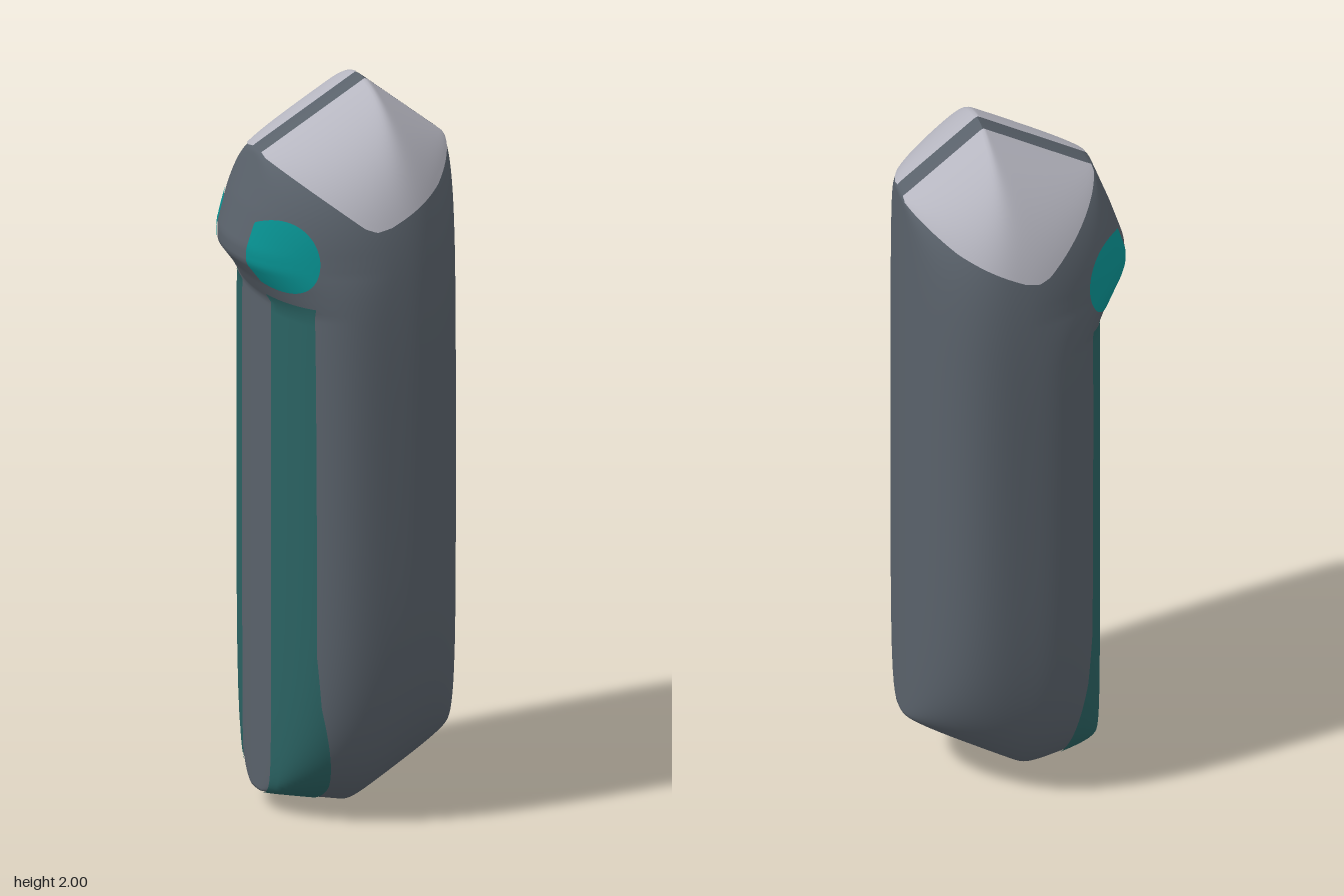
import * as THREE from 'three';

// Piecewise linear lookup in a short list of [key, value] pairs
function lookup(list, k) {
  if (k <= list[0][0]) return list[0][1];
  for (let i = 1; i < list.length; i++) {
    const [k0, v0] = list[i - 1], [k1, v1] = list[i];
    if (k <= k1) return v0 + (v1 - v0) * (k - k0) / (k1 - k0);
  }
  return list[list.length - 1][1];
}
const lerp = THREE.MathUtils.lerp;

// Outline: flank with a bump, roof-like top and pointed foot
const BUMP = [[1.44, -0.22], [1.5, -0.255], [1.56, -0.3], [1.6, -0.3], [1.7, -0.268], [1.83, -0.22]];
const LEFT = [[0, 0], [0.05, -0.22], ...BUMP, [2, 0.08]];
const RIGHT = [[0, 0], [0.18, 0.3], [1.82, 0.3], [2, 0.08]];
const roofLeft = x => 2 + (x - 0.08) * 0.17 / 0.3;
const roofRight = x => 2 - (x - 0.08) * 0.18 / 0.22;
const footLeft = x => -x * 0.05 / 0.22;
const footRight = x => x * 0.18 / 0.3;
const MID = 0.04, DEPTH = 0.342;

// Rounded rise away from an end made of two slopes at distances d0 and d1
function rise(d0, d1) {
  if (d0 <= 0 || d1 <= 0) return 0;
  const d = (d0 ** -6 + d1 ** -6) ** (-1 / 6);
  return 1 - Math.exp(-((d / 0.185) ** 1.15));
}

// Half thickness of the inflated body at a point of the outline
function height(x, y) {
  const side = lookup(BUMP, y);
  const t = x < MID ? (MID - x) / (MID - side) : (x - MID) / 0.26;
  const power = x < MID ? 3 + (side + 0.22) / 0.08 : 3;
  const across = 1 - t ** power;
  const roof = rise(roofLeft(x) - y, roofRight(x) - y);
  const foot = rise(y - footLeft(x), y - footRight(x));
  if (across <= 0 || roof <= 0 || foot <= 0) return 0;
  return DEPTH / Math.sqrt(1 / across + 1 / roof + 1 / foot - 2);
}

function makeGeometry(pos, index) {
  const g = new THREE.BufferGeometry();
  g.setAttribute('position', new THREE.Float32BufferAttribute(pos, 3));
  g.setIndex(index);
  g.computeVertexNormals();
  return g;
}

// Closed body from horizontal rings
function bodyGeometry() {
  const rows = 200, n = 120, pos = [], index = [];
  for (let j = 0; j <= rows; j++) {
    const s = j / rows;
    const y = lerp(1 - Math.cos(Math.PI * s), 2 * s, 0.4);
    const a = lookup(LEFT, y), b = lookup(RIGHT, y);
    for (let i = 0; i < n; i++) {
      const q = 2 * Math.PI * i / n;
      const x = (a + b) / 2 + (b - a) / 2 * Math.cos(q);
      const side = i % (n / 2) === 0 ? 0 : Math.sign(Math.sin(q));
      pos.push(x, y, side * height(x, y));
      if (j < rows) {
        const p = j * n + i, r = j * n + (i + 1) % n;
        index.push(p, p + n, r, r, p + n, r + n);
      }
    }
  }
  return makeGeometry(pos, index);
}

// Thin painted skin following the body; place(u, v) gives [x, y]
function skinGeometry(place, side, nu, nv) {
  const pos = [], index = [], e = 0.0015, lift = 0.003;
  for (let j = 0; j <= nv; j++) {
    for (let i = 0; i <= nu; i++) {
      const [x, y] = place(i / nu, j / nv);
      const normal = new THREE.Vector3(
        (height(x - e, y) - height(x + e, y)) / (2 * e),
        (height(x, y - e) - height(x, y + e)) / (2 * e), 1).normalize();
      pos.push(x + normal.x * lift, y + normal.y * lift, side * (height(x, y) + normal.z * lift));
      if (i < nu && j < nv) {
        const p = j * (nu + 1) + i, q = p + nu + 1;
        if (side > 0) index.push(p, p + 1, q, p + 1, q + 1, q);
        else index.push(p, q, p + 1, p + 1, q, q + 1);
      }
    }
  }
  return makeGeometry(pos, index);
}

// Keeps a skin away from the flank's edge; k is the share of the half width
const flankLimit = (y, k) => MID - (MID - lookup(BUMP, y)) * k;

// Pale cap on the roof
const CAP_EDGE = [[-0.22, 1.83], [-0.1, 1.738], [-0.03, 1.683], [0, 1.672], [0.04, 1.681], [0.2, 1.755], [0.3, 1.818]];
function capPlace(u, v) {
  const x = lerp(-0.213, 0.295, u);
  const ridge = Math.min(roofLeft(x), roofRight(x)) - 0.0025;
  return [x, lerp(lookup(CAP_EDGE, x), ridge, 1 - (1 - v) ** 2)];
}

// Oval button on the bump
function buttonPlace(u, v) {
  const q = (v - 0.5) * Math.PI;
  const y = 1.596 + 0.097 * Math.sin(q);
  const x = -0.217 + 0.072 * Math.cos(q) * (2 * u - 1);
  return [Math.max(x, flankLimit(y, 0.955)), y];
}

// Long stripe under the bump, flaring at the foot
const STRIPE_EDGE = [[0.02, -0.085], [0.1, -0.09], [0.2, -0.11], [0.35, -0.14], [0.5, -0.152], [1.47, -0.155]];
function stripePlace(u, v) {
  const y = lerp(0.022, 1.465, v ** 1.6);
  const from = Math.max(lookup(LEFT, y) + 0.004, flankLimit(y, 0.972));
  return [lerp(from, lookup(STRIPE_EDGE, y), u), y];
}

export function createModel() {
  const paint = (name, color) => {
    const m = new THREE.MeshStandardMaterial({ color });
    m.name = name;
    return m;
  };
  const slate = paint('slate grey', 0x59616a);
  const pale = paint('pale grey', 0xb6b6c0);
  const teal = paint('teal', 0x079090);
  const darkTeal = paint('dark teal', 0x2a6262);

  const model = new THREE.Group();
  model.name = 'inflatedPillar';
  const add = (name, geometry, material) => {
    const mesh = new THREE.Mesh(geometry, material);
    mesh.name = name;
    model.add(mesh);
  };

  add('body', bodyGeometry(), slate);
  for (const [label, side] of [['front', 1], ['back', -1]]) {
    add(label + 'Cap', skinGeometry(capPlace, side, 80, 36), pale);
    add(label + 'Button', skinGeometry(buttonPlace, side, 20, 28), teal);
    add(label + 'Stripe', skinGeometry(stripePlace, side, 12, 90), darkTeal);
  }
  return model;
}
